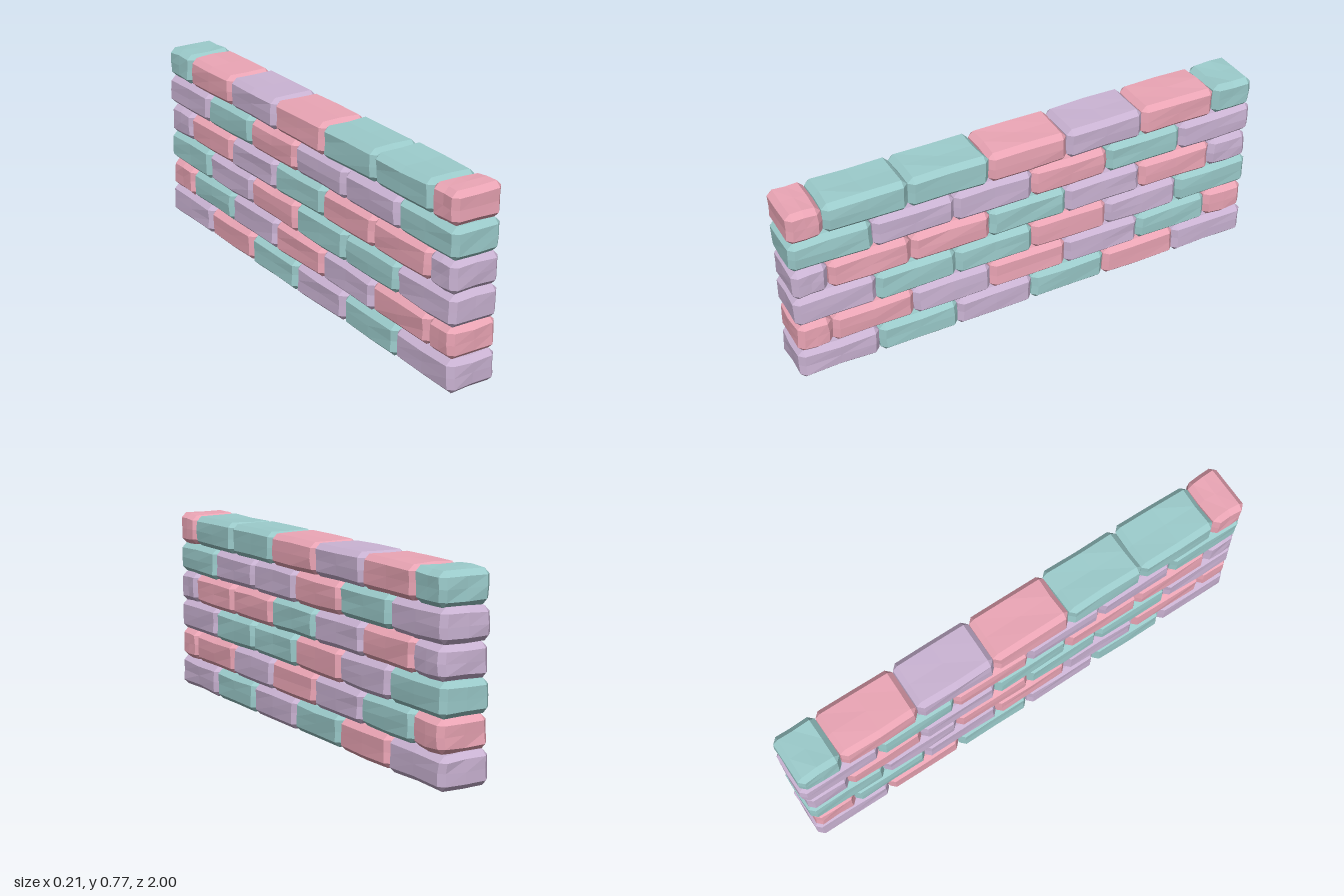
import * as THREE from 'three';

const COLORS = { pink: 0xeca6b6, teal: 0x9ccccc, purple: 0xcbb4d4 };
const materials = {};
for (const name in COLORS) {
  materials[name] = new THREE.MeshStandardMaterial({ color: COLORS[name], flatShading: true });
}

const P = 'pink', T = 'teal', U = 'purple';
// Courses from the ground up, each listed from the front (+z) to the back
const COURSES = [
  [U, T, U, T, P, U],
  [P, P, U, P, U, T, P],
  [U, T, T, P, U, T],
  [U, P, P, T, U, P, U],
  [T, U, U, P, T, U],
  [P, T, T, P, U, P, T],
];
const FULL_JOINTS = [1, 0.67, 0.337, 0.006, -0.326, -0.66, -0.998];
const HALF_JOINTS = [0.997, 0.855, 0.521, 0.19, -0.144, -0.48, -0.808, -0.988];
const PITCH = 0.1275, HALF_WIDTH = 0.105, CHAMFER = 0.021;

// Repeatable value in -1..1
function hash(a, b, c, seed) {
  const s = Math.sin(a * 12.99 + b * 78.23 + c * 37.72 + seed * 9.17) * 43758.5453;
  return (s - Math.floor(s)) * 2 - 1;
}

// Bevelled box, slightly worn: grid lines sit at the bevels and the centre,
// while edge and corner vertices are drawn in onto the bevel planes
function brickGeometry(hx, hy, hz, seed) {
  const geo = new THREE.BoxGeometry(4, 4, 4, 4, 4, 4);
  const pos = geo.attributes.position;
  const half = [hx, hy, hz];
  const pull = [0, 0, CHAMFER / 2, CHAMFER * 2 / 3];
  for (let i = 0; i < pos.count; i++) {
    const g = [pos.getX(i), pos.getY(i), pos.getZ(i)].map(Math.round);
    const extremes = g.filter((v) => Math.abs(v) === 2).length;
    const p = g.map((v, k) => {
      const a = Math.abs(v);
      const d = a === 2 ? half[k] - pull[extremes] : a === 1 ? half[k] - CHAMFER : 0;
      return Math.sign(v) * d;
    });
    // Gentle wear, varied per corner region of the brick
    const q = g.map(Math.sign);
    p[0] += 0.0025 * hash(q[0], q[1], q[2], seed);
    p[1] += 0.003 * hash(q[0], q[1], q[2], seed + 31);
    p[2] += 0.003 * hash(q[0], q[1], q[2], seed + 67);
    pos.setXYZ(i, ...p);
  }
  geo.computeVertexNormals();
  return geo;
}

export function createModel() {
  const wall = new THREE.Group();
  wall.name = 'brickWall';
  COURSES.forEach((colors, row) => {
    const course = new THREE.Group();
    course.name = `course${row + 1}`;
    const joints = row % 2 ? HALF_JOINTS : FULL_JOINTS;
    colors.forEach((color, i) => {
      const front = joints[i], back = joints[i + 1];
      const hz = (front - back) / 2 - 0.001;
      const brick = new THREE.Mesh(
        brickGeometry(HALF_WIDTH - 0.001, PITCH / 2 + 0.0005, hz, row * 10 + i + 1),
        materials[color]
      );
      brick.name = hz < 0.12 ? 'halfBrick' : 'brick';
      brick.position.set(0, 0.005 + PITCH * (row + 0.5), (front + back) / 2);
      course.add(brick);
    });
    wall.add(course);
  });
  return wall;
}
